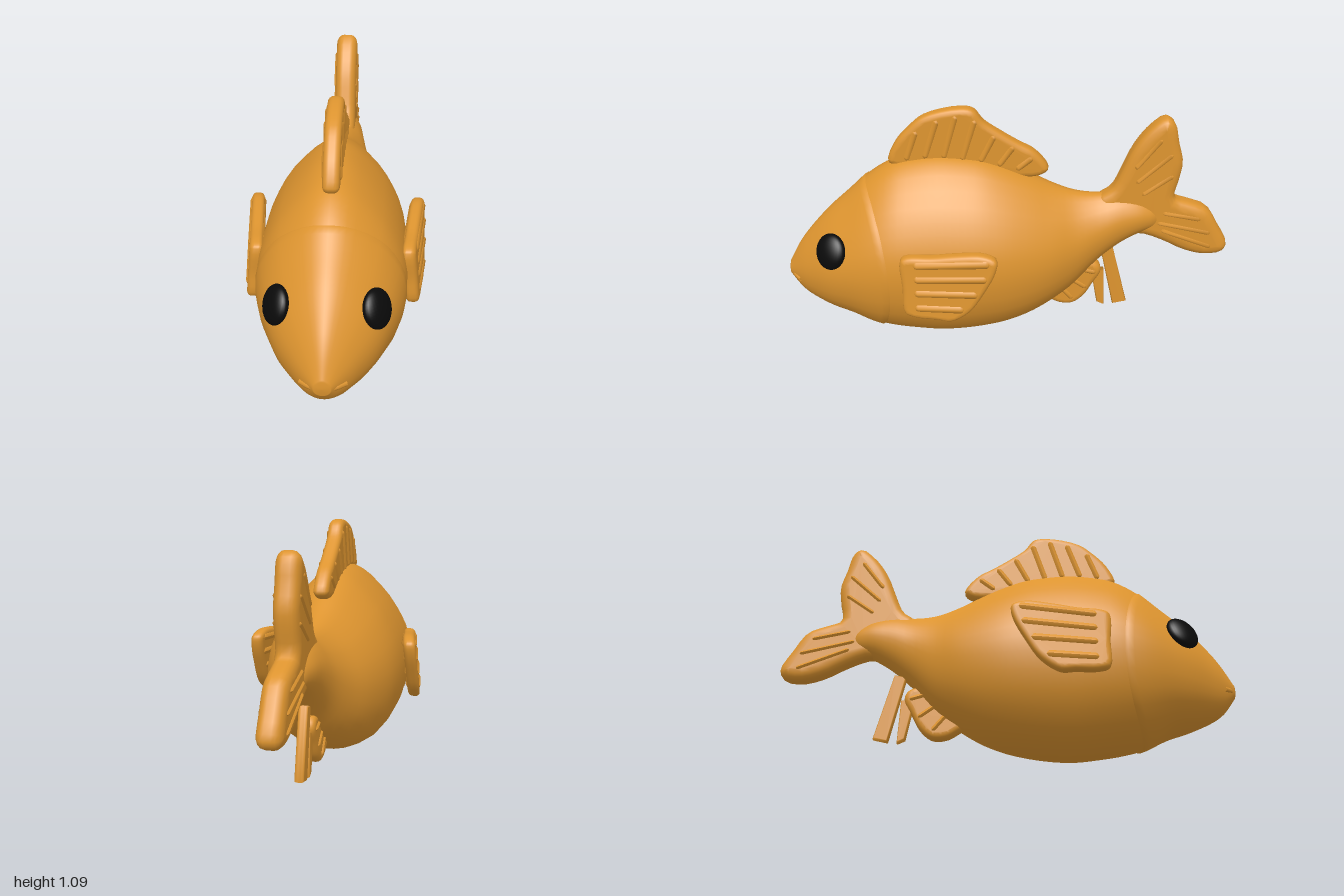
import * as THREE from 'three';
import { mergeVertices, mergeGeometries } from 'three/addons/utils/BufferGeometryUtils.js';

// Body stations from nose to tail: z, top y, bottom y, half width
const STATIONS = [
  [1.0, 0.33, 0.27, 0.03], [0.95, 0.42, 0.205, 0.08], [0.9, 0.49, 0.17, 0.125], [0.8, 0.6, 0.13, 0.2],
  [0.7, 0.69, 0.1, 0.25], [0.6, 0.78, 0.055, 0.287], [0.5, 0.84, 0.03, 0.307], [0.4, 0.865, 0.015, 0.312],
  [0.3, 0.875, 0.005, 0.312], [0.2, 0.87, 0.01, 0.31], [0.1, 0.855, 0.025, 0.303], [0, 0.82, 0.05, 0.288],
  [-0.1, 0.775, 0.09, 0.26], [-0.2, 0.725, 0.15, 0.22], [-0.3, 0.69, 0.225, 0.165], [-0.4, 0.68, 0.34, 0.12],
  [-0.5, 0.69, 0.43, 0.095], [-0.6, 0.67, 0.49, 0.075], [-0.7, 0.62, 0.52, 0.035],
];

// Half cross-section: x fraction, height fraction (rounded belly, ridged back)
const HALF = new THREE.SplineCurve([
  [0, 0], [0.25, 0.012], [0.62, 0.085], [0.9, 0.24], [1, 0.43], [0.96, 0.58],
  [0.84, 0.7], [0.65, 0.82], [0.35, 0.94], [0.14, 0.99], [0, 1],
].map(([x, y]) => new THREE.Vector2(x, y))).getPoints(20);
const RING = [...HALF, ...HALF.slice(1, -1).reverse().map((p) => new THREE.Vector2(-p.x, p.y))];

// Smooth interpolation of the stations at any z
function station(z) {
  let i = 0;
  while (i < STATIONS.length - 2 && z < STATIONS[i + 1][0]) i++;
  const at = (k) => STATIONS[Math.min(Math.max(k, 0), STATIONS.length - 1)];
  const [a, b, c, d] = [at(i - 1), at(i), at(i + 1), at(i + 2)];
  const h = c[0] - b[0], t = (z - b[0]) / h;
  return [1, 2, 3].map((k) => {
    const m0 = ((c[k] - a[k]) / (c[0] - a[0])) * h, m1 = ((d[k] - b[k]) / (d[0] - b[0])) * h;
    return (2 * t ** 3 - 3 * t * t + 1) * b[k] + (t ** 3 - 2 * t * t + t) * m0
      + (3 * t * t - 2 * t ** 3) * c[k] + (t ** 3 - t * t) * m1;
  });
}

// Skin over rows of rings; zAt(s, heightFraction) and sizeAt(s) shape each row
function loft(rows, zAt, sizeAt) {
  const pos = [], index = [], n = RING.length;
  for (let i = 0; i <= rows; i++) {
    for (const p of RING) {
      const z = zAt(i / rows, p.y), [top, bottom, w] = station(z), mid = (top + bottom) / 2, k = sizeAt(i / rows);
      pos.push(p.x * w * k, mid + (bottom + (top - bottom) * p.y - mid) * k, z);
    }
  }
  for (let i = 0; i < rows; i++) {
    for (let j = 0; j < n; j++) {
      const a = i * n + j, c = i * n + ((j + 1) % n);
      index.push(a, a + n, c, a + n, c + n, c);
    }
  }
  const g = new THREE.BufferGeometry();
  g.setAttribute('position', new THREE.Float32BufferAttribute(pos, 3));
  g.setIndex(index);
  g.computeVertexNormals();
  return g;
}

// Padded fin from a [z, y] outline, with raised rays [z0, y0, z1, y1] on both sides
function fin(outline, half, bevel, rays = [], rayRadius = 0.02, smooth = true) {
  const pts = outline.map(([z, y]) => new THREE.Vector3(-z, y, 0));
  const line = smooth ? new THREE.CatmullRomCurve3(pts, true).getPoints(56).slice(0, -1) : pts;
  const shape = new THREE.Shape(line.map((p) => new THREE.Vector2(p.x, p.y)));
  const depth = 2 * half * 0.3, thick = half * 0.7;
  let plate = new THREE.ExtrudeGeometry(shape, {
    depth, bevelEnabled: true, bevelThickness: thick, bevelSize: bevel, bevelOffset: -bevel, bevelSegments: 4,
  });
  plate.translate(0, 0, -depth / 2);
  plate.rotateY(Math.PI / 2);
  plate.deleteAttribute('uv');
  plate.deleteAttribute('normal');
  plate = mergeVertices(plate, 1e-4);
  const parts = [plate];
  for (const [z0, y0, z1, y1] of rays) {
    const dz = z1 - z0, dy = y1 - y0;
    const ray = new THREE.CapsuleGeometry(rayRadius, Math.hypot(dz, dy), 5, 10);
    ray.scale((half + 0.007) / rayRadius, 1, 1);
    ray.rotateX(Math.atan2(dz, dy));
    ray.translate(0, (y0 + y1) / 2, (z0 + z1) / 2);
    ray.deleteAttribute('uv');
    ray.deleteAttribute('normal');
    parts.push(ray);
  }
  const g = mergeGeometries(parts);
  g.computeVertexNormals();
  return g;
}

export function createModel() {
  const fish = new THREE.Group();
  fish.name = 'fish';
  const orange = new THREE.MeshStandardMaterial({ color: 0xdd942f });
  orange.name = 'orange skin';
  orange.side = THREE.DoubleSide;
  const black = new THREE.MeshStandardMaterial({ color: 0x0a0a0a });
  black.name = 'eye black';
  const add = (name, geometry, material = orange) => {
    const mesh = new THREE.Mesh(geometry, material);
    mesh.name = name;
    fish.add(mesh);
    return mesh;
  };

  // Body runs from inside the head to the root of the tail
  add('body', loft(44, (s) => 0.72 - 1.42 * s, (s) => (s === 1 ? 0 : 1)));

  // Head overlaps the body with a curved gill edge
  const gillEdge = (t) => (t > 0.4 ? 0.49 + 0.115 * ((t - 0.4) / 0.6) ** 2 : 0.49 + 0.08 * ((0.4 - t) / 0.4) ** 2);
  add('head', loft(30, (s, t) => 1 + (gillEdge(t) - 1) * s ** 1.6,
    (s) => (s === 0 ? 0 : s === 1 ? 0.97 : 1 + 0.018 * s)));

  // Mouth
  const lip = new THREE.CatmullRomCurve3([[-0.085, 0.282, 0.94], [-0.045, 0.288, 0.972], [0, 0.29, 0.987],
    [0.045, 0.288, 0.972], [0.085, 0.282, 0.94]].map((p) => new THREE.Vector3(...p)));
  add('upperLip', new THREE.TubeGeometry(lip, 20, 0.012, 8));

  // Dorsal fin
  add('dorsalFin', fin([
    [0.51, 0.84], [0.48, 0.93], [0.42, 1.0], [0.35, 1.055], [0.2, 1.09], [0.14, 1.08], [0.1, 1.03], [0.03, 0.98],
    [-0.05, 0.93], [-0.12, 0.89], [-0.18, 0.81], [-0.15, 0.78], [-0.06, 0.77], [0.1, 0.8], [0.3, 0.82],
  ], 0.034, 0.025, [
    [0.43, 0.87, 0.39, 0.98], [0.35, 0.88, 0.3, 1.03], [0.27, 0.88, 0.22, 1.05], [0.19, 0.87, 0.14, 1.03],
    [0.11, 0.86, 0.06, 0.96], [0.03, 0.84, -0.02, 0.91], [-0.05, 0.82, -0.1, 0.86],
  ], 0.024));

  // Forked tail fin
  add('tailFin', fin([
    [-0.4, 0.66], [-0.46, 0.71], [-0.5, 0.8], [-0.54, 0.9], [-0.6, 0.99], [-0.67, 1.045], [-0.71, 1.02],
    [-0.735, 0.93], [-0.76, 0.84], [-0.75, 0.75], [-0.74, 0.67], [-0.8, 0.645], [-0.89, 0.61], [-0.95, 0.52],
    [-0.998, 0.43], [-0.98, 0.39], [-0.9, 0.375], [-0.8, 0.4], [-0.7, 0.45], [-0.6, 0.485], [-0.5, 0.48], [-0.42, 0.54],
  ], 0.05, 0.045, [
    [-0.56, 0.83, -0.65, 0.95], [-0.57, 0.76, -0.7, 0.88], [-0.6, 0.7, -0.71, 0.78],
    [-0.7, 0.6, -0.85, 0.57], [-0.68, 0.55, -0.9, 0.5], [-0.7, 0.51, -0.91, 0.43],
  ], 0.025));

  // Fin under the belly and two trailing strips
  add('bellyFin', fin([
    [-0.14, 0.18], [-0.2, 0.125], [-0.25, 0.1], [-0.31, 0.1], [-0.36, 0.14], [-0.4, 0.21],
    [-0.435, 0.28], [-0.42, 0.32], [-0.36, 0.34], [-0.25, 0.28],
  ], 0.035, 0.025, [[-0.25, 0.2, -0.3, 0.14], [-0.29, 0.25, -0.36, 0.2], [-0.33, 0.3, -0.4, 0.28]]));
  add('shortStrip', fin([[-0.39, 0.28], [-0.425, 0.1], [-0.46, 0.085], [-0.45, 0.28]], 0.02, 0.006, [], 0.02, false));
  add('longStrip', fin([[-0.43, 0.39], [-0.485, 0.4], [-0.565, 0.105], [-0.5, 0.09]], 0.02, 0.006, [], 0.02, false));

  // Paired side fins, flaring outward to the back, and eyes
  for (const side of [1, -1]) {
    const g = fin([
      [0.45, 0.53], [0.446, 0.4], [0.44, 0.285], [0.39, 0.265], [0.3, 0.262], [0.24, 0.258], [0.16, 0.31], [0.1, 0.4],
      [0.05, 0.5], [0.045, 0.555], [0.1, 0.578], [0.2, 0.572], [0.32, 0.555], [0.42, 0.548],
    ], 0.028, 0.022, [
      [0.38, 0.52, 0.09, 0.545], [0.38, 0.455, 0.1, 0.475], [0.38, 0.39, 0.14, 0.4], [0.38, 0.32, 0.2, 0.325],
    ], 0.026);
    const p = g.attributes.position;
    for (let i = 0; i < p.count; i++) {
      const flare = 0.322 + 0.12 * (0.44 - p.getZ(i)) - 0.1 * (p.getY(i) - 0.42);
      p.setX(i, p.getX(i) + side * flare);
    }
    g.computeVertexNormals();
    add(side > 0 ? 'leftSideFin' : 'rightSideFin', g);

    const eye = add(side > 0 ? 'leftEye' : 'rightEye', new THREE.SphereGeometry(1, 28, 20), black);
    eye.scale.set(0.075, 0.08, 0.036);
    eye.position.set(side * 0.192, 0.497, 0.765);
    eye.lookAt(side * (0.192 + 0.8), 0.497 + 0.38, 0.765 + 0.5);
  }
  return fish;
}
